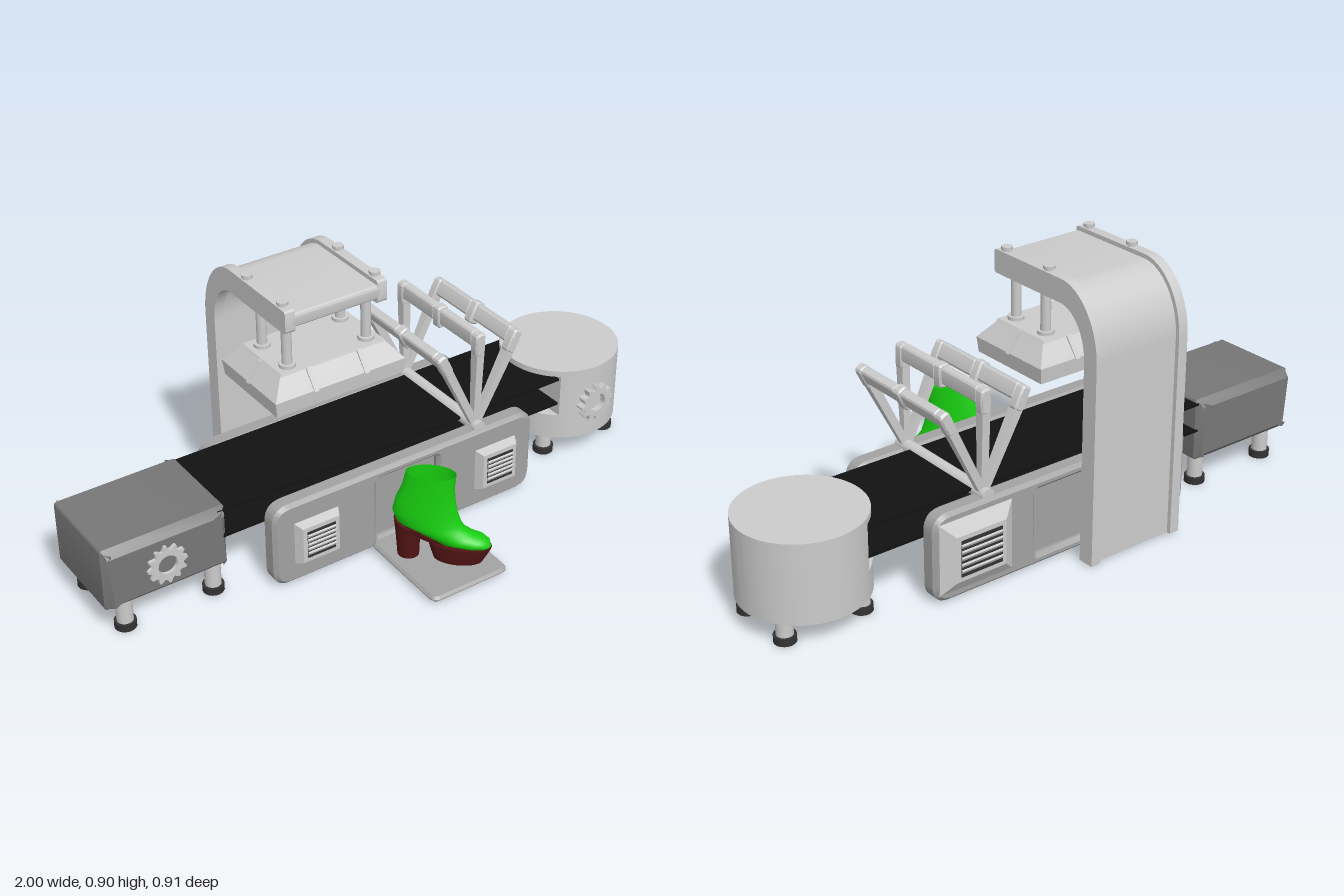
import * as THREE from 'three';
import { toCreasedNormals } from 'three/addons/utils/BufferGeometryUtils.js';

const mat = (color, side = THREE.FrontSide) => new THREE.MeshStandardMaterial({ color, side });
const grey = mat(0xcccccc), mid = mat(0xa2a2a2), dark = mat(0x777777), rubber = mat(0x333333), black = mat(0x121212);
const green = mat(0x18d010, THREE.DoubleSide), red = mat(0x521414, THREE.DoubleSide);

function add(parent, name, geo, material, x = 0, y = 0, z = 0) {
  const m = new THREE.Mesh(geo, material);
  m.name = name;
  m.position.set(x, y, z);
  parent.add(m);
  return m;
}
const box = (w, h, d) => new THREE.BoxGeometry(w, h, d);
const cyl = (r, h, n = 20) => new THREE.CylinderGeometry(r, r, h, n);
const crease = (g) => toCreasedNormals(g, 0.6);

// Box whose top face is scaled by sx, sz
function taperBox(w, h, d, sx, sz) {
  const g = box(w, h, d), p = g.attributes.position;
  for (let i = 0; i < p.count; i++)
    if (p.getY(i) > 0) p.setXYZ(i, p.getX(i) * sx, p.getY(i), p.getZ(i) * sz);
  const flat = g.toNonIndexed();
  flat.computeVertexNormals();
  return flat;
}
function roundRect(w, h, r, S = THREE.Shape) {
  const s = new S(), a = w / 2, b = h / 2;
  s.moveTo(-a + r, -b);
  s.lineTo(a - r, -b); s.quadraticCurveTo(a, -b, a, -b + r);
  s.lineTo(a, b - r); s.quadraticCurveTo(a, b, a - r, b);
  s.lineTo(-a + r, b); s.quadraticCurveTo(-a, b, -a, b - r);
  s.lineTo(-a, -b + r); s.quadraticCurveTo(-a, -b, -a + r, -b);
  return s;
}
// Extrusion centred on its depth; the bevel stays inside the outline
function slab(shape, depth, bevel = 0, steps = 1) {
  const g = new THREE.ExtrudeGeometry(shape, {
    depth: depth - 2 * bevel, bevelEnabled: bevel > 0, bevelSize: bevel, bevelOffset: -bevel,
    bevelThickness: bevel, bevelSegments: steps, curveSegments: 12 });
  g.translate(0, 0, -(depth - 2 * bevel) / 2);
  return crease(g);
}
function gearGeometry() {
  const s = new THREE.Shape(), n = 12;
  for (let i = 0; i < n * 4; i++) {
    const a = ((i + (i % 2 ? -0.15 : 0.15)) / (n * 4)) * Math.PI * 2;
    const r = i % 4 < 2 ? 0.066 : 0.052;
    s[i ? 'lineTo' : 'moveTo'](Math.cos(a) * r, Math.sin(a) * r);
  }
  s.holes.push(new THREE.Path().absarc(0, 0, 0.032, 0, Math.PI * 2, true));
  return slab(s, 0.03);
}
function leg(parent, x, z, top) {
  add(parent, 'leg', cyl(0.026, top - 0.02), grey, x, (top + 0.02) / 2, z);
  add(parent, 'footPad', cyl(0.034, 0.024), rubber, x, 0.012, z);
}
// Skin over oval rings [frontU, frontY, backU, backY, halfWidth], listed top to bottom
function loft(rings, n = 28) {
  const pos = [], idx = [];
  rings.forEach(([fu, fy, bu, by, w], i) => {
    for (let j = 0; j < n; j++) {
      const t = (j / n) * Math.PI * 2, c = Math.cos(t) / 2;
      pos.push((fu + bu) / 2 + (fu - bu) * c, (fy + by) / 2 + (fy - by) * c, w * Math.sin(t));
      if (i) {
        const k = (j + 1) % n, a = (i - 1) * n, b = i * n;
        idx.push(a + j, a + k, b + j, a + k, b + k, b + j);
      }
    }
  });
  const g = new THREE.BufferGeometry();
  g.setAttribute('position', new THREE.Float32BufferAttribute(pos, 3));
  g.setIndex(idx);
  g.computeVertexNormals();
  return g;
}

// Long side wall with a recessed centre panel and two louvred vents
function sideWall(parent, name, z, turn, vw, vh, fw, fh) {
  const g = new THREE.Group();
  g.name = name;
  g.position.set(0.01, 0.15, z);
  g.rotation.y = turn;
  parent.add(g);
  const shape = roundRect(0.98, 0.29, 0.06);
  shape.holes.push(roundRect(0.23, 0.22, 0.01, THREE.Path));
  add(g, 'wall', slab(shape, 0.064, 0.012), mid);
  add(g, 'centrePanel', box(0.27, 0.25, 0.02), mid);
  for (const x of [-0.34, 0.34]) {
    const frame = taperBox(vw, 0.03, vh, fw / vw, fh / vh).rotateX(Math.PI / 2);
    add(g, 'ventFrame', frame, grey, x, 0, 0.045);
    add(g, 'ventGrille', box(fw - 0.03, fh - 0.03, 0.004), rubber, x, 0, 0.06);
    for (let i = 0; i < 5; i++) {
      const slat = add(g, 'ventSlat', box(fw - 0.03, 0.012, 0.008), grey, x, ((i - 2) * (fh - 0.045)) / 5, 0.061);
      slat.rotation.x = 0.5;
    }
  }
}

// Bent support beam, outlined in z and y, inset by t
function beamGeometry(t, width) {
  const s = new THREE.Shape();
  s.moveTo(-0.455 + t, 0.005);
  s.lineTo(-0.455 + t, 0.665);
  s.absellipse(-0.29, 0.665, 0.165 - t, 0.22 - t, Math.PI, Math.PI / 2, true);
  s.lineTo(0.008, 0.885 - t);
  s.quadraticCurveTo(0.018, 0.885 - t, 0.018, 0.872 - t);
  s.lineTo(0.018, 0.822 + t);
  s.quadraticCurveTo(0.018, 0.81 + t, 0.005, 0.81 + t);
  s.lineTo(-0.29, 0.81 + t);
  s.absellipse(-0.29, 0.66, 0.11 + t, 0.15 + t, Math.PI / 2, Math.PI, false);
  s.lineTo(-0.4 - t, 0.005);
  return slab(s, width).rotateY(-Math.PI / 2);
}

export function createModel() {
  const root = new THREE.Group();
  root.name = 'shoeConveyor';

  // Conveyor belt, upper and lower run
  for (const y of [0.3, 0.207]) add(root, 'belt', box(1.3, 0.008, 0.31), black, 0.03, y, -0.122);

  // Feed box
  add(root, 'feedBox', slab(roundRect(0.41, 0.215, 0.012), 0.34, 0.025), dark, -0.795, 0.2075, -0.125);
  for (const x of [-0.93, -0.63]) for (const z of [0, -0.24]) leg(root, x, z, 0.12);
  add(root, 'gear', gearGeometry(), grey, -0.803, 0.205, 0.042);

  // Drum with a slot for the belt
  const drum = new THREE.Group();
  drum.name = 'drum';
  drum.position.set(0.8, 0, -0.118);
  root.add(drum);
  add(drum, 'drumBase', new THREE.CylinderGeometry(0.2, 0.2, 0.09, 64), grey, 0, 0.12);
  const a = Math.acos(-0.12 / 0.2);
  const core = new THREE.Shape().absarc(0, 0, 0.2, -a, a, false);
  const coreGeo = new THREE.ExtrudeGeometry(core, { depth: 0.15, bevelEnabled: false, curveSegments: 48 });
  add(drum, 'drumCore', crease(coreGeo.rotateX(-Math.PI / 2)), grey, 0, 0.165);
  add(drum, 'drumLid', cyl(0.2, 0.02, 64), grey, 0, 0.325);
  for (const x of [-0.13, 0.13]) for (const z of [-0.1, 0.1]) leg(drum, x, z, 0.08);
  add(root, 'gear', gearGeometry(), grey, 0.795, 0.205, 0.087);

  // Side walls
  sideWall(root, 'frontWall', 0.0875, 0, 0.16, 0.15, 0.13, 0.125);
  sideWall(root, 'backWall', -0.3125, Math.PI, 0.27, 0.24, 0.18, 0.15);

  // Support beam: two rails and a thinner web
  add(root, 'beamWeb', beamGeometry(0.014, 0.3), grey, -0.177);
  for (const x of [-0.338, -0.017]) {
    add(root, 'beamRail', beamGeometry(0, 0.034), grey, x);
    for (const z of [-0.022, -0.218]) {
      add(root, 'boltShank', cyl(0.012, 0.01), grey, x, 0.888, z);
      add(root, 'boltHead', cyl(0.018, 0.011, 8), grey, x, 0.895, z);
    }
  }

  // Press head hung on four rods
  const press = new THREE.Group();
  press.name = 'pressHead';
  press.position.set(-0.178, 0, -0.115);
  root.add(press);
  add(press, 'pressBase', taperBox(0.45, 0.05, 0.3, 1.025, 1.03), grey, 0, 0.58);
  add(press, 'pressSlope', taperBox(0.46, 0.055, 0.308, 0.81, 0.71), grey, 0, 0.6325);
  add(press, 'pressTop', taperBox(0.376, 0.008, 0.225, 0.97, 0.97), grey, 0, 0.664);
  for (const x of [-0.09, 0.09]) add(press, 'pressRib', taperBox(0.016, 0.062, 0.318, 1, 0.71), grey, x, 0.634);
  add(press, 'pressRib', taperBox(0.47, 0.062, 0.016, 0.81, 1), grey, 0, 0.634);
  for (const x of [-0.14, 0.14]) for (const z of [-0.065, 0.075]) {
    add(press, 'pressRod', cyl(0.016, 0.18), grey, x, 0.745, z);
    add(press, 'rodCollar', cyl(0.026, 0.014), grey, x, 0.672, z);
  }

  // Fan of three arches over the belt
  for (const tilt of [-0.46, 0, 0.46]) {
    const arch = new THREE.Group();
    arch.name = 'arch';
    arch.position.set(0.295, 0.295, -0.112);
    arch.rotation.z = tilt;
    root.add(arch);
    for (const s of [-1, 1]) {
      const arm = add(arch, 'archArm', taperBox(0.024, 0.31, 0.02, 1.2, 1.7), grey, 0, 0.155, s * 0.194);
      arm.rotation.x = s * 0.02;
      add(arch, 'archCorner', slab(roundRect(0.036, 0.08, 0.015), 0.035, 0.006), grey, 0, 0.3, s * 0.197);
      const bar = slab(roundRect(0.032, 0.055, 0.012), 0.17, 0.006);
      add(arch, 'archBar', bar, grey, 0, 0.313, s * 0.1);
    }
    add(arch, 'barJoint', slab(roundRect(0.04, 0.075, 0.014), 0.034, 0.005), grey, 0, 0.308);
  }
  add(root, 'archPivot', cyl(0.022, 0.44).rotateX(Math.PI / 2), grey, 0.295, 0.295, -0.112);

  // Thin display tray
  const tray = add(root, 'tray', slab(roundRect(0.285, 0.34, 0.03), 0.02, 0.008).rotateX(-Math.PI / 2), mid, 0.012, 0.021, 0.283);
  tray.rotation.x = 0.03;

  // Ankle boot, turned between front and left
  const boot = new THREE.Group();
  boot.name = 'boot';
  boot.position.set(0.012, 0, 0.296);
  boot.rotation.y = -Math.PI / 4;
  root.add(boot);
  add(boot, 'bootUpper', loft([
    [0.04, 0.34, -0.114, 0.34, 0.042], [0.036, 0.29, -0.125, 0.29, 0.042],
    [0.04, 0.245, -0.145, 0.24, 0.043], [0.048, 0.2, -0.155, 0.195, 0.045],
    [0.06, 0.165, -0.14, 0.155, 0.046], [0.076, 0.142, -0.07, 0.125, 0.045],
    [0.1, 0.13, 0, 0.09, 0.045], [0.128, 0.122, 0.07, 0.082, 0.042],
    [0.148, 0.107, 0.12, 0.082, 0.03], [0.152, 0.09, 0.147, 0.082, 0.008]]), green);
  add(boot, 'bootSole', crease(loft([
    [0.06, 0.09, 0.06, 0.09, 0], [0.155, 0.09, -0.04, 0.095, 0.048],
    [0.152, 0.078, -0.04, 0.08, 0.047], [0.128, 0.032, -0.025, 0.032, 0.04], [0.05, 0.032, 0.05, 0.032, 0]])), red);
  add(boot, 'bootShank', crease(loft([
    [0.03, 0.098, -0.13, 0.162, 0.042], [0.03, 0.083, -0.13, 0.142, 0.038], [-0.05, 0.113, -0.05, 0.113, 0]])), red);
  add(boot, 'bootHeel', crease(loft([
    [-0.1, 0.15, -0.1, 0.15, 0], [-0.055, 0.13, -0.15, 0.168, 0.042],
    [-0.068, 0.09, -0.143, 0.1, 0.036], [-0.07, 0.032, -0.138, 0.032, 0.034], [-0.1, 0.032, -0.1, 0.032, 0]])), red);

  return root;
}
